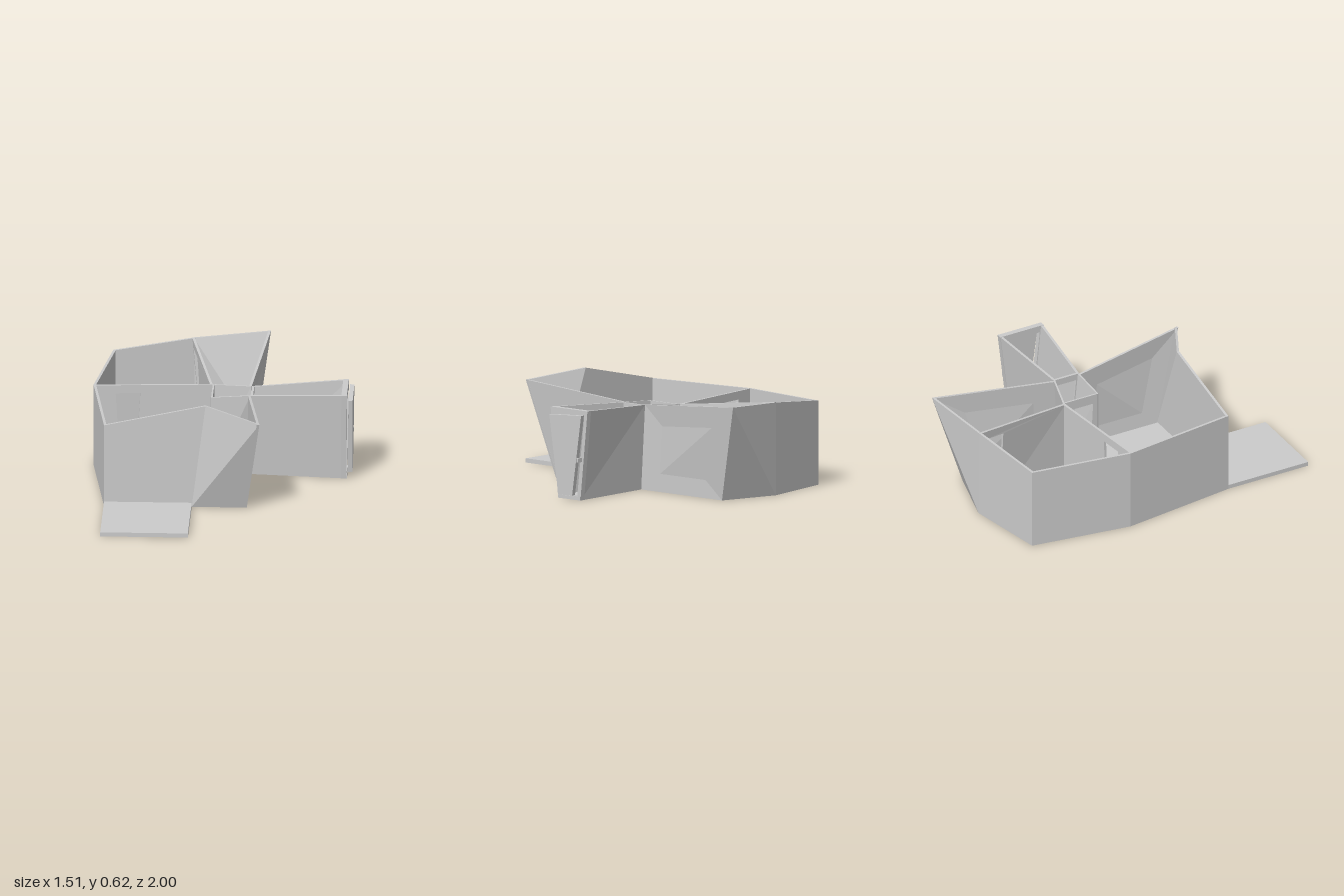
import * as THREE from 'three';

const material = new THREE.MeshStandardMaterial({ color: 0xcccccc, flatShading: true, side: THREE.DoubleSide });
const V = (x, y, z) => new THREE.Vector3(x, y, z);

// Closed slab between an outer quad (b0, b1, t1, t0) and the same quad moved by an offset
function slab(outer, offset, flip) {
  const p = [...outer, ...outer.map((v) => v.clone().add(offset))];
  const quads = [[0, 1, 2, 3], [5, 4, 7, 6], [4, 5, 1, 0], [3, 2, 6, 7], [1, 5, 6, 2], [4, 0, 3, 7]];
  const pos = [];
  for (const q of quads) {
    const [a, b, c, d] = flip ? [q[1], q[2], q[3], q[0]] : q;
    for (const i of [a, b, c, a, c, d]) pos.push(...p[i].toArray());
  }
  const g = new THREE.BufferGeometry();
  g.setAttribute('position', new THREE.Float32BufferAttribute(pos, 3));
  g.computeVertexNormals();
  return new THREE.Mesh(g, material);
}

// Leaning wall; thickness grows to the left of its run. A door is
// { bottom: [s0, s1], top: [s0, s1], y: [low, high] } in fractions of the wall.
function wall(name, b0, b1, t0, t1, { thick = 0.015, door, flip = false } = {}) {
  const group = new THREE.Group();
  group.name = name;
  const d = b1.clone().sub(b0).setY(0).normalize();
  const offset = V(d.z, 0, -d.x).multiplyScalar(thick);
  const at = (s, t) => b0.clone().lerp(b1, s).lerp(t0.clone().lerp(t1, s), t);
  const add = (...c) => group.add(slab(c.map(([s, t]) => at(s, t)), offset, flip));
  if (!door) {
    add([0, 0], [1, 0], [1, 1], [0, 1]);
    return group;
  }
  const [l0, r0] = door.bottom, [l1, r1] = door.top, [lo, hi] = door.y;
  add([0, 0], [l0, lo], [l1, hi], [0, 1]);
  add([r0, lo], [1, 0], [1, 1], [r1, hi]);
  add([l1, hi], [r1, hi], [1, 1], [0, 1]);
  if (lo > 0) add([0, 0], [1, 0], [r0, lo], [l0, lo]);
  return group;
}

// Flat plate from an outline of [x, z] points
function plate(name, outline, height) {
  const shape = new THREE.Shape(outline.map(([x, z]) => new THREE.Vector2(x, -z)));
  const g = new THREE.ExtrudeGeometry(shape, { depth: height, bevelEnabled: false });
  g.rotateX(-Math.PI / 2);
  const m = new THREE.Mesh(g, material);
  m.name = name;
  return m;
}

export function createModel() {
  const model = new THREE.Group();
  model.name = 'rooflessHouse';

  // Floor and entrance ramp
  model.add(plate('floor', [
    [-0.67, 0.47], [0.16, 0.47], [0.16, -0.11], [0.72, -0.055], [0.72, -0.23],
    [0.16, -0.2], [0.16, -0.835], [-0.2, -0.93], [-0.67, -0.835], [-0.76, -0.23],
  ], 0.02));
  model.add(plate('ramp', [[-0.67, 1], [-0.16, 1], [-0.16, 0.47], [-0.67, 0.47]], 0.025));

  // Outer walls, anticlockwise from the front west corner
  model.add(
    wall('frontWall', V(-0.67, 0, 0.47), V(-0.16, 0, 0.47), V(-0.67, 0.495, 0.47), V(-0.08, 0.622, 0.47)),
    wall('frontLeaningWall', V(-0.16, 0, 0.47), V(0.16, 0, 0.47), V(-0.08, 0.622, 0.47), V(0.24, 0.57, 0.635)),
    wall('eastFrontWall', V(0.16, 0, 0.47), V(0.16, 0, -0.11), V(0.24, 0.57, 0.635), V(0.16, 0.5, -0.06)),
    wall('eastBackWall', V(0.16, 0, -0.2), V(0.16, 0, -0.835), V(0.16, 0.5, -0.23), V(0.24, 0.57, -0.995), { flip: true }),
    wall('backLeaningWall', V(0.16, 0, -0.835), V(-0.2, 0, -0.93), V(0.24, 0.57, -0.995), V(-0.2, 0.545, -0.93), { flip: true }),
    wall('backWall', V(-0.2, 0, -0.93), V(-0.67, 0, -0.835), V(-0.2, 0.545, -0.93), V(-0.67, 0.495, -0.835)),
    wall('westBackWall', V(-0.67, 0, -0.835), V(-0.76, 0, -0.23), V(-0.67, 0.495, -0.835), V(-0.76, 0.495, -0.23)),
    wall('westFrontWall', V(-0.76, 0, -0.23), V(-0.67, 0, 0.47), V(-0.76, 0.495, -0.23), V(-0.67, 0.495, 0.47)),
  );

  // Inner partitions with doorways
  model.add(
    wall('crossPartition', V(-0.755, 0, -0.215), V(-0.07, 0, -0.285), V(-0.755, 0.495, -0.215), V(-0.07, 0.485, -0.285),
      { door: { bottom: [0.22, 0.35], top: [0.18, 0.39], y: [0, 0.9] } }),
    wall('backPartition', V(-0.07, 0, -0.29), V(-0.15, 0, -0.89), V(-0.07, 0.485, -0.29), V(-0.2, 0.545, -0.92),
      { door: { bottom: [0.78, 0.95], top: [0.74, 0.97], y: [0, 0.9] } }),
    wall('vestibuleWestWall', V(-0.07, 0, -0.295), V(-0.07, 0, -0.06), V(-0.07, 0.485, -0.295), V(-0.07, 0.485, -0.06),
      { thick: 0.01, door: { bottom: [0.3, 0.75], top: [0.2, 0.85], y: [0, 0.88] } }),
    wall('vestibuleFrontWall', V(-0.07, 0, -0.06), V(0.16, 0, -0.11), V(-0.07, 0.485, -0.06), V(0.16, 0.5, -0.06), { thick: 0.01 }),
    wall('vestibuleBackWall', V(0.16, 0, -0.2), V(-0.07, 0, -0.295), V(0.16, 0.5, -0.23), V(-0.07, 0.485, -0.295), { thick: 0.01 }),
    wall('corridorInnerFrame', V(0.175, 0, -0.11), V(0.175, 0, -0.2), V(0.175, 0.5, -0.06), V(0.175, 0.5, -0.23),
      { door: { bottom: [0.12, 0.88], top: [0.1, 0.9], y: [0, 0.92] } }),
  );

  // Flaring entrance corridor
  model.add(
    wall('corridorFrontWall', V(0.16, 0, -0.11), V(0.715, 0, -0.055), V(0.16, 0.5, -0.06), V(0.72, 0.53, 0)),
    wall('corridorBackWall', V(0.715, 0, -0.23), V(0.16, 0, -0.2), V(0.72, 0.53, -0.29), V(0.16, 0.5, -0.23)),
    wall('corridorEndFrame', V(0.717, 0, -0.055), V(0.717, 0, -0.23), V(0.722, 0.53, 0), V(0.722, 0.53, -0.29),
      { thick: 0.032, door: { bottom: [0.15, 0.85], top: [0.08, 0.92], y: [0.05, 0.92] } }),
  );

  // Entrance door leaf, hanging just outside the frame, with a handle
  model.add(wall('entranceDoor', V(0.75, 0.03, -0.085), V(0.75, 0.03, -0.195), V(0.755, 0.49, -0.02), V(0.755, 0.505, -0.27), { thick: 0.025 }));
  const handle = new THREE.Mesh(new THREE.BoxGeometry(0.035, 0.025, 0.012), material);
  handle.name = 'doorHandle';
  handle.position.set(0.735, 0.24, -0.238);
  model.add(handle);

  return model;
}
